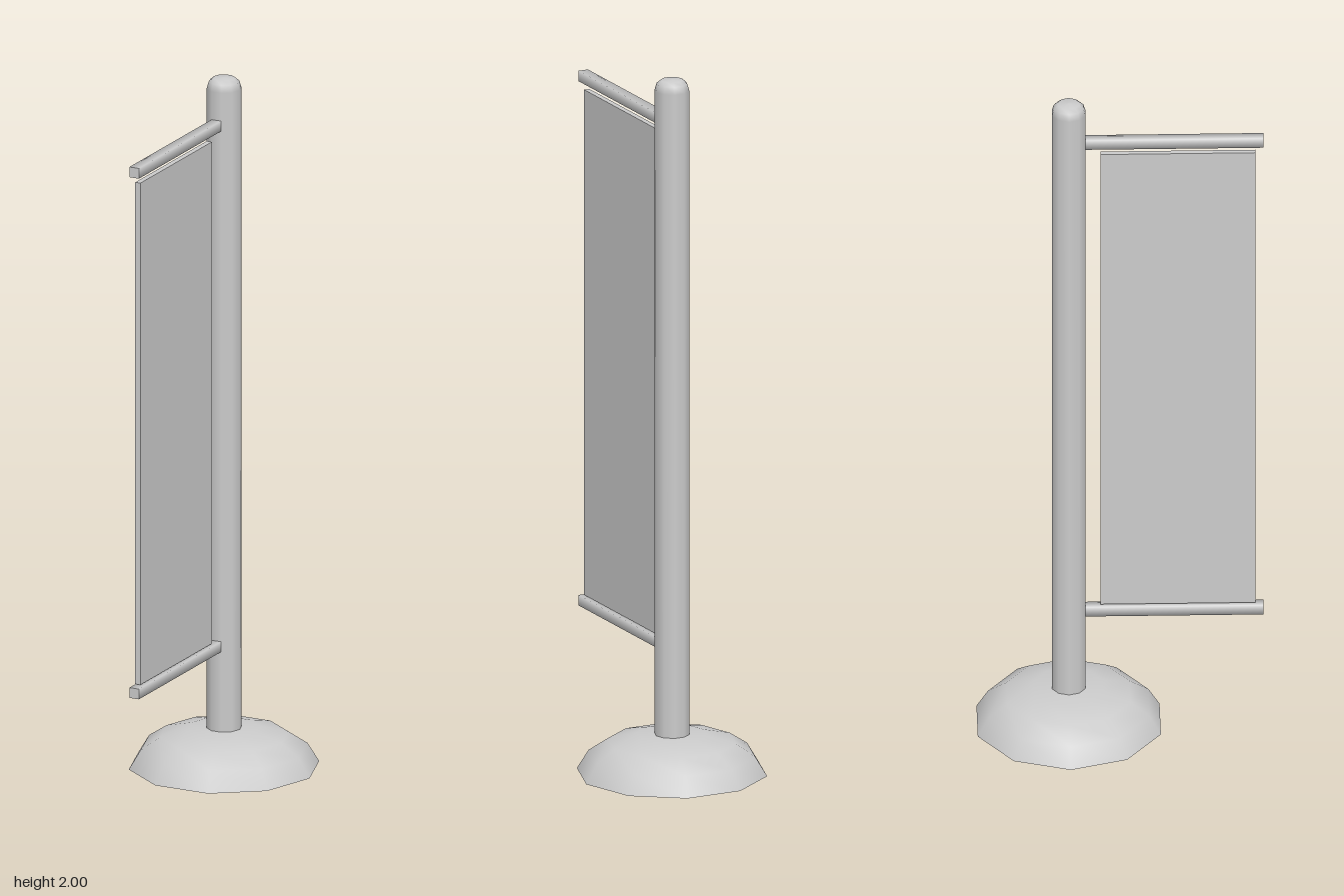
import * as THREE from 'three';

const SIDES = 10;
const POLE_Z = -0.143;

export function createModel() {
  const group = new THREE.Group();
  const solid = new THREE.MeshStandardMaterial({ color: 0xcccccc });
  const open = new THREE.MeshStandardMaterial({ color: 0xcccccc, side: THREE.DoubleSide });

  const add = (name, geometry, material, x, y, z) => {
    const mesh = new THREE.Mesh(geometry, material);
    mesh.name = name;
    mesh.position.set(x, y, z);
    group.add(mesh);
    return mesh;
  };

  // Ten-sided turned shape with corners on the x axis
  const turned = (profile) => new THREE.LatheGeometry(
    profile.map(([r, y]) => new THREE.Vector2(r, y)), SIDES, Math.PI / 2);

  // Hollow domed foot, open underneath
  add('base', turned([
    [0.267, 0], [0.234, 0.054], [0.18, 0.09], [0.1, 0.11], [0, 0.112],
  ]), open, 0, 0, POLE_Z);

  // Pole with a rounded top
  add('pole', turned([
    [0.049, 0.1], [0.049, 1.968], [0.043, 1.988], [0.031, 1.998], [0, 2],
  ]), solid, 0, 0, POLE_Z);

  // Flat end of the pole, seen inside the hollow foot
  const poleEnd = new THREE.CircleGeometry(0.049, SIDES);
  poleEnd.rotateX(Math.PI / 2);
  add('poleEnd', poleEnd, solid, 0, 0.1, POLE_Z);

  // Square rods, softly shaded, reaching forward from the pole
  const back = -0.12, front = 0.397;
  const rod = new THREE.CylinderGeometry(0.021, 0.021, front - back, 4, 1, false, Math.PI / 4);
  rod.rotateX(Math.PI / 2);
  add('upperRod', rod, solid, 0, 1.872, (front + back) / 2);
  add('lowerRod', rod, solid, 0, 0.359, (front + back) / 2);

  // Hanging panel between the rods
  add('banner', new THREE.BoxGeometry(0.016, 1.458, 0.43), solid, 0, 1.108, 0.16);

  return group;
}
